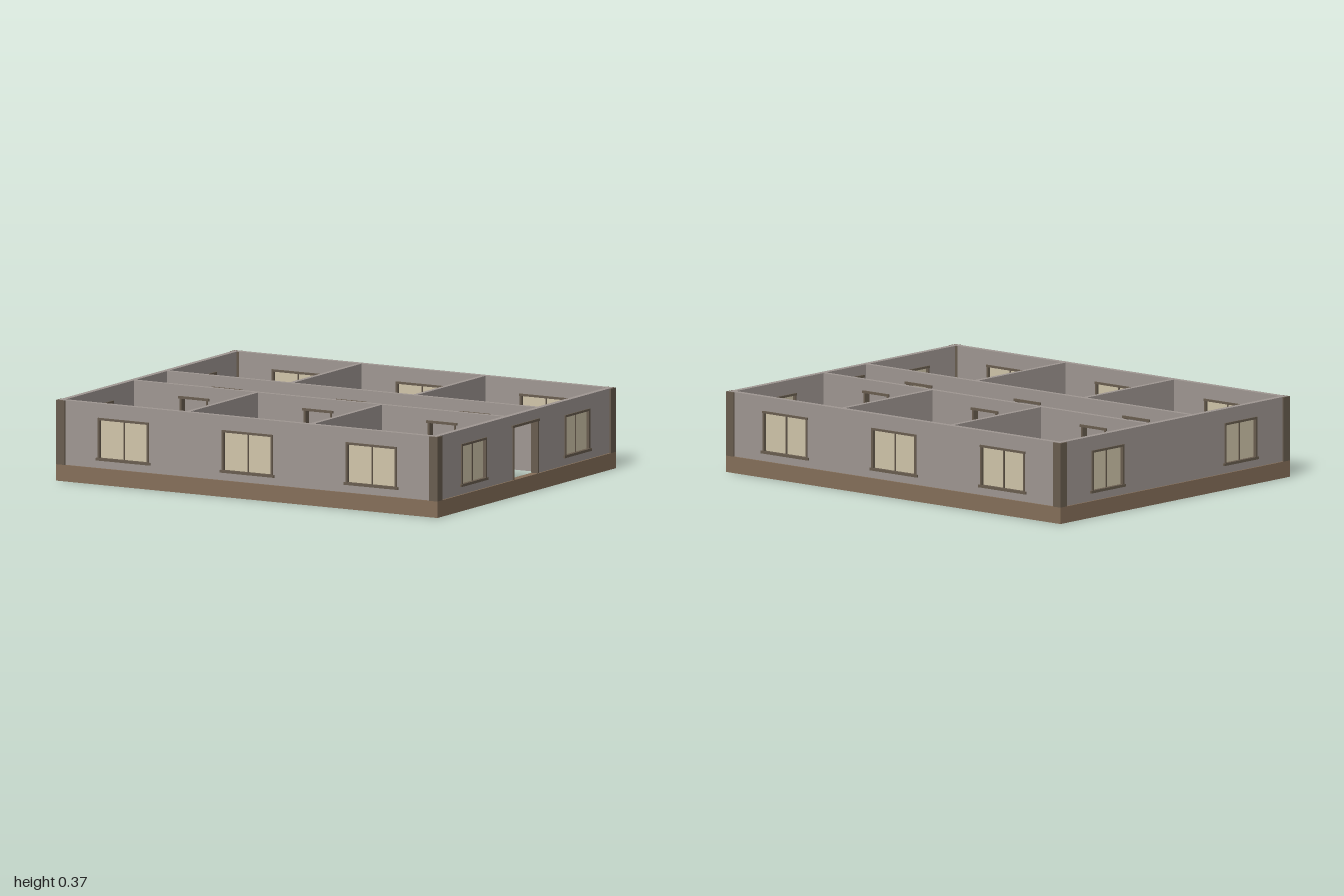
import * as THREE from 'three';

const mat = (name, color) => {
  const m = new THREE.MeshStandardMaterial({ color });
  m.name = name;
  return m;
};

export function createModel() {
  const wallMat = mat('wall grey', 0xa09893);
  const baseMat = mat('plinth brown', 0x86705a);
  const trimMat = mat('dark trim', 0x6a5e50);
  const glassMat = mat('cream glass', 0xd2c7ab);

  const X = 1, Z = 0.79;            // outer half sizes of the plinth
  const FLOOR = 0.075, TOP = 0.37;  // wall bottom and top
  const INSET = 0.008, THICK = 0.026;
  const model = new THREE.Group();
  model.name = 'house';

  const box = (parent, name, material, w, h, d, x, y, z) => {
    const mesh = new THREE.Mesh(new THREE.BoxGeometry(w, h, d), material);
    mesh.name = name;
    mesh.position.set(x, y, z);
    parent.add(mesh);
    return mesh;
  };

  // Straight wall along local x, with door notches and window holes
  function wall(name, length, thick, doors = [], windows = []) {
    const group = new THREE.Group();
    group.name = name;
    const s = new THREE.Shape();
    s.moveTo(-length / 2, FLOOR);
    for (const d of doors) {
      s.lineTo(d.x - d.w / 2, FLOOR);
      s.lineTo(d.x - d.w / 2, d.top);
      s.lineTo(d.x + d.w / 2, d.top);
      s.lineTo(d.x + d.w / 2, FLOOR);
    }
    s.lineTo(length / 2, FLOOR);
    s.lineTo(length / 2, TOP);
    s.lineTo(-length / 2, TOP);
    for (const w of windows) {
      const h = new THREE.Path();
      h.moveTo(w.x - w.w / 2, w.y0);
      h.lineTo(w.x - w.w / 2, w.y1);
      h.lineTo(w.x + w.w / 2, w.y1);
      h.lineTo(w.x + w.w / 2, w.y0);
      s.holes.push(h);
    }
    const geo = new THREE.ExtrudeGeometry(s, { depth: thick, bevelEnabled: false });
    geo.translate(0, 0, -thick / 2);
    const mesh = new THREE.Mesh(geo, wallMat);
    mesh.name = 'wallPanel';
    group.add(mesh);
    doors.forEach((d) => addDoorFrame(group, d, thick));
    windows.forEach((w) => addWindow(group, w, thick));
    model.add(group);
    return group;
  }

  // Two jambs and a slightly wider header
  function addDoorFrame(parent, d, thick) {
    const t = 0.009, depth = thick + 0.01, h = d.top - FLOOR;
    for (const s of [-1, 1])
      box(parent, 'doorJamb', trimMat, t, h, depth, d.x + s * (d.w / 2 - t / 2 + 0.002), FLOOR + h / 2, 0);
    box(parent, 'doorHeader', trimMat, d.w + 0.018, 0.011, depth + 0.004, d.x, d.top - 0.001, 0);
  }

  // Frame, mullion, sill and a pane in the middle of the wall
  function addWindow(parent, w, thick) {
    const t = 0.01, depth = thick + 0.01, h = w.y1 - w.y0, cy = (w.y0 + w.y1) / 2;
    box(parent, 'windowPane', glassMat, w.w, h, 0.008, w.x, cy, 0);
    for (const s of [-1, 1])
      box(parent, 'windowJamb', trimMat, t, h, depth, w.x + s * (w.w / 2 - t / 2 + 0.002), cy, 0);
    box(parent, 'windowMullion', trimMat, 0.006, h, 0.016, w.x, cy, 0);
    box(parent, 'windowHeader', trimMat, w.w + 0.006, t, depth + 0.002, w.x, w.y1 - t / 2 + 0.002, 0);
    box(parent, 'windowSill', trimMat, w.w + 0.022, 0.012, depth + 0.006, w.x, w.y0 - 0.002, 0);
  }

  // Plinth ring
  const ring = new THREE.Shape([[-X, -Z], [X, -Z], [X, Z], [-X, Z]].map((p) => new THREE.Vector2(...p)));
  const ix = X - 0.036, iz = Z - 0.036;
  ring.holes.push(new THREE.Path([[-ix, -iz], [-ix, iz], [ix, iz], [ix, -iz]].map((p) => new THREE.Vector2(...p))));
  const ringGeo = new THREE.ExtrudeGeometry(ring, { depth: FLOOR, bevelEnabled: false });
  ringGeo.rotateX(-Math.PI / 2);
  const plinth = new THREE.Mesh(ringGeo, baseMat);
  plinth.name = 'plinth';
  model.add(plinth);

  // Outer walls
  const win = (x, w) => ({ x, w, y0: 0.118, y1: 0.303 });
  const off = INSET + THICK / 2;
  const longWindows = [-0.65, 0, 0.65].map((x) => win(x, 0.262));
  const sideWindows = [-0.457, 0.457].map((x) => win(x, 0.216));
  for (const s of [-1, 1]) {
    const long = wall(s > 0 ? 'frontWall' : 'backWall', 2 * (X - INSET), THICK, [], longWindows);
    long.position.z = s * (Z - off);
    const doors = s > 0 ? [{ x: 0, w: 0.22, top: 0.32 }] : [];
    const side = wall(s > 0 ? 'leftWall' : 'rightWall', 2 * (Z - INSET - THICK), THICK, doors, sideWindows);
    side.position.x = s * (X - off);
    side.rotation.y = Math.PI / 2;
  }

  // Corridor walls with three doors each, and room dividers
  const roomDoors = [-0.65, 0, 0.65].map((x) => ({ x, w: 0.142, top: 0.315 }));
  const inner = 0.147, zIn = Z - INSET - THICK;
  for (const s of [-1, 1]) {
    const corridor = wall('corridorWall', 2 * (X - INSET - THICK), 0.021, roomDoors);
    corridor.position.z = s * inner;
    const len = zIn - inner - 0.0105;
    for (const x of [-0.325, 0.325]) {
      const divider = wall('roomDivider', len, 0.021);
      divider.position.set(x, 0, s * (zIn - len / 2));
      divider.rotation.y = Math.PI / 2;
    }
  }

  // Corner posts, chamfered on the inside
  const w = 0.045, c = 0.014;
  for (const sx of [-1, 1]) for (const sz of [-1, 1]) {
    const pts = [[0, 0], [w, 0], [w, w - c], [w - c, w], [0, w]]
      .map(([a, b]) => new THREE.Vector2(sx * (X - a), -sz * (Z - b)));
    const geo = new THREE.ExtrudeGeometry(new THREE.Shape(pts), { depth: TOP - FLOOR - 0.001, bevelEnabled: false });
    geo.rotateX(-Math.PI / 2);
    const post = new THREE.Mesh(geo, trimMat);
    post.name = 'cornerPost';
    post.position.y = FLOOR;
    model.add(post);
  }

  return model;
}
